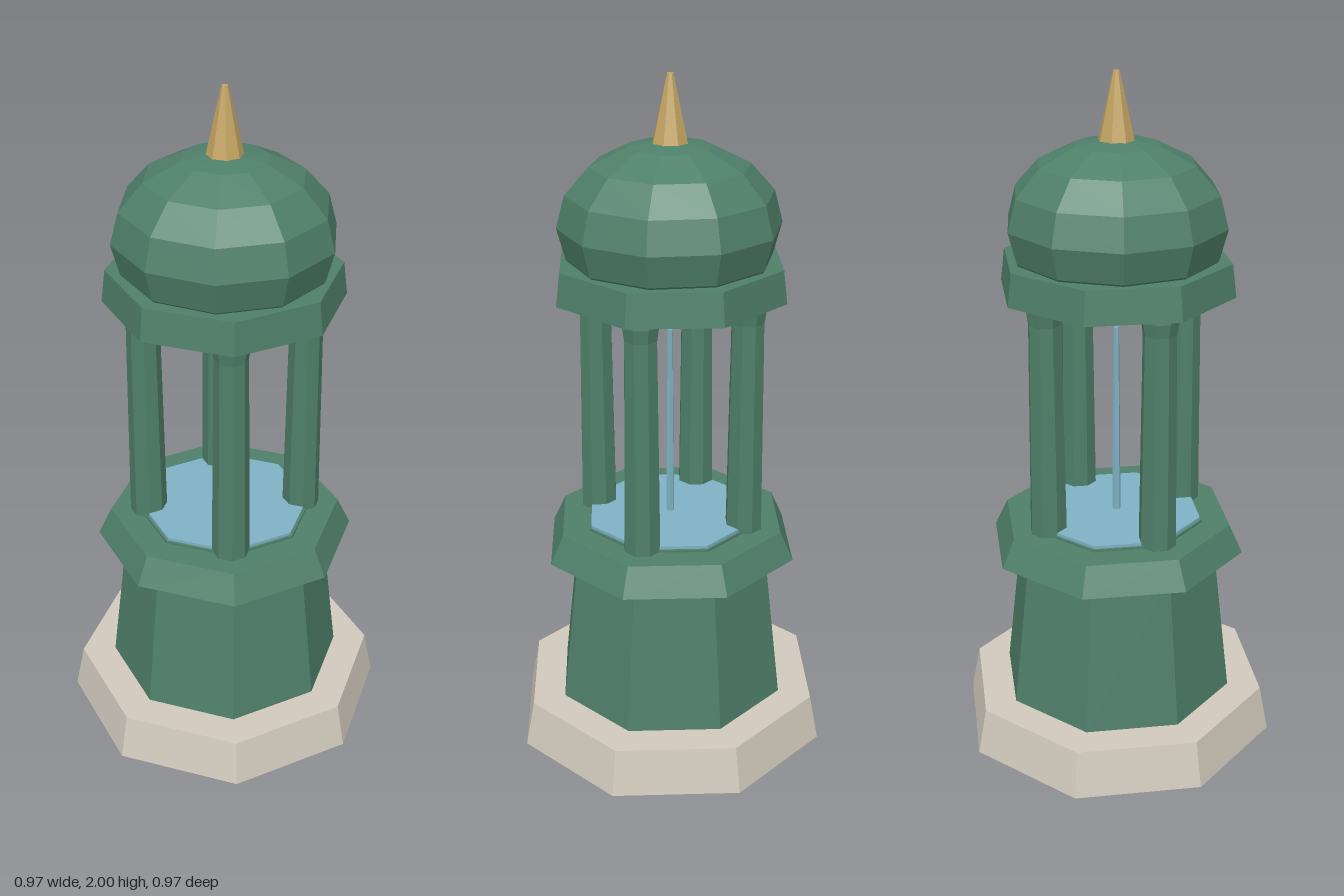
import * as THREE from 'three';

const material = (name, color) => {
  const m = new THREE.MeshStandardMaterial({ color, flatShading: true });
  m.name = name;
  return m;
};

export function createModel() {
  const group = new THREE.Group();
  const green = material('green paint', 0x4f806a);
  const stone = material('pale stone', 0xd2cabd);
  const water = material('water', 0x7fb2c4);
  const gold = material('gold', 0xc4a563);

  // Tapered prism standing between two heights
  const prism = (name, mat, rBottom, rTop, y0, y1, x = 0, z = 0, sides = 8) => {
    const mesh = new THREE.Mesh(new THREE.CylinderGeometry(rTop, rBottom, y1 - y0, sides), mat);
    mesh.name = name;
    mesh.position.set(x, (y0 + y1) / 2, z);
    group.add(mesh);
    return mesh;
  };

  // Plinth and pedestal
  prism('plinth', stone, 0.485, 0.457, 0, 0.14);
  prism('pedestal', green, 0.355, 0.3, 0.14, 0.61);
  prism('cornice', green, 0.385, 0.345, 0.605, 0.69);

  // Basin with its water and jet
  prism('basinRim', green, 0.262, 0.262, 0.685, 0.697);
  prism('waterSurface', water, 0.255, 0.255, 0.69, 0.706);
  prism('waterJet', water, 0.013, 0.008, 0.7, 1.28, 0, 0, 6);

  // Four columns with small capitals
  for (const sx of [-1, 1]) {
    for (const sz of [-1, 1]) {
      const x = sx * 0.163, z = sz * 0.163;
      prism('column', green, 0.055, 0.047, 0.69, 1.4, x, z);
      prism('capital', green, 0.048, 0.054, 1.33, 1.37, x, z);
      prism('capitalTop', green, 0.054, 0.05, 1.37, 1.4, x, z);
    }
  }

  // Lintel, dome and finial
  prism('lintel', green, 0.342, 0.33, 1.395, 1.49);
  const dome = new THREE.Mesh(new THREE.SphereGeometry(0.315, 10, 8), green);
  dome.name = 'dome';
  dome.scale.y = 0.75;
  dome.position.y = 1.586;
  group.add(dome);
  prism('finial', gold, 0.052, 0.009, 1.81, 2);

  return group;
}
